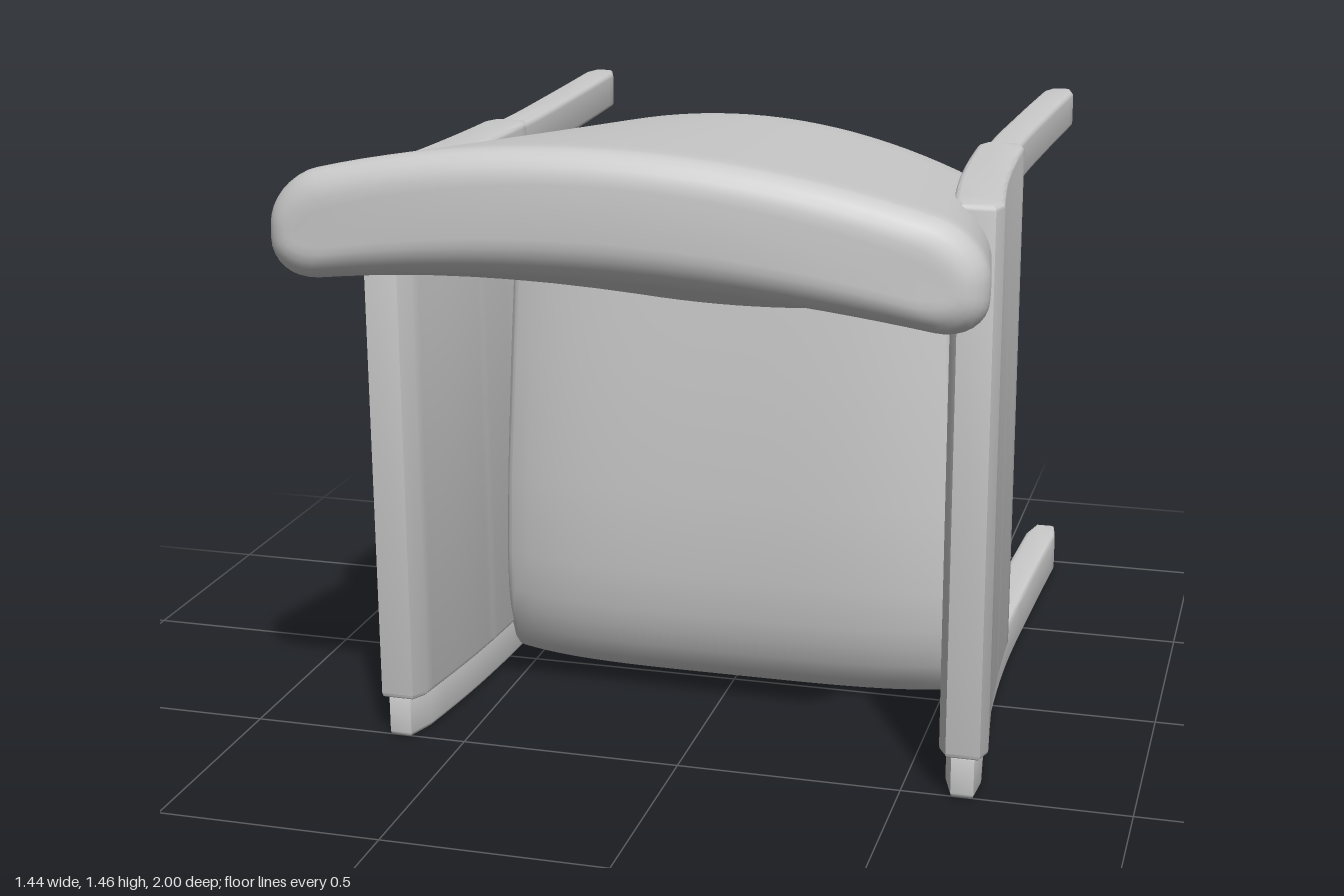
import * as THREE from 'three';
import { toCreasedNormals } from 'three/addons/utils/BufferGeometryUtils.js';

const material = new THREE.MeshStandardMaterial({ color: 0xcccccc });
const lerp = THREE.MathUtils.lerp;

function addMesh(parent, name, geometry) {
  const mesh = new THREE.Mesh(geometry, material);
  mesh.name = name;
  parent.add(mesh);
  return mesh;
}

// Rounded-rectangle section in the unit box; rx, ry are corner radii as fractions
function unitSection(rx, ry) {
  const pts = [];
  const arc = 8, span = 24;
  const corners = [[1, 1], [-1, 1], [-1, -1], [1, -1]];
  corners.forEach(([sx, sy], c) => {
    for (let k = 0; k <= arc; k++) {
      const a = (c + k / arc) * Math.PI / 2;
      pts.push([sx * (1 - rx) + rx * Math.cos(a), sy * (1 - ry) + ry * Math.sin(a)]);
    }
    // subdivide the long edges so they can be bent
    if (c % 2 === 0) {
      for (let k = 1; k < span; k++) pts.push([sx * (1 - rx) * (1 - 2 * k / span), sy]);
    }
  });
  return pts;
}

// Skin a list of rings; each ring gives half width, top(u), bottom(u), z(u) and inset
function loft(section, rings) {
  const n = section.length, positions = [], index = [];
  rings.forEach(({ w, top, bottom, z, inset = 0, shut = false }) => {
    section.forEach(([u, v]) => {
      const mid = (top(u) + bottom(u)) / 2;
      const half = shut ? 0 : (top(u) - bottom(u)) / 2 - inset;
      positions.push(u * (w - inset), mid + half * v, z(u));
    });
  });
  for (let i = 0; i < rings.length - 1; i++) {
    for (let j = 0; j < n; j++) {
      const a = i * n + j, b = i * n + (j + 1) % n;
      index.push(a, b, b + n, a, b + n, a + n);
    }
  }
  const geometry = new THREE.BufferGeometry();
  geometry.setAttribute('position', new THREE.Float32BufferAttribute(positions, 3));
  geometry.setIndex(index);
  return toCreasedNormals(geometry, 0.7);
}

// Stations along the length with both ends rounded over and closed
function stations(start, end, rStart, rEnd, middle) {
  const list = [{ t: start, inset: rStart, shut: true }];
  const steps = 6;
  for (let k = 0; k <= steps; k++) {
    const a = k / steps * Math.PI / 2;
    list.push({ t: start + rStart * (1 - Math.sin(a)), inset: rStart * (1 - Math.cos(a)) });
  }
  list.splice(1, steps + 1, ...list.slice(1).reverse());
  middle.forEach(t => list.push({ t }));
  for (let k = 0; k <= steps; k++) {
    const a = k / steps * Math.PI / 2;
    list.push({ t: end - rEnd * (1 - Math.sin(a)), inset: rEnd * (1 - Math.cos(a)) });
  }
  list.push({ t: end, inset: rEnd, shut: true });
  return list;
}

// Curved padded backrest, wider and higher towards its free edge
function backrestGeometry() {
  const rings = stations(-0.17, 1, 0.04, 0.07, [0, 0.15, 0.3, 0.45, 0.6, 0.75, 0.85]).map(({ t, inset, shut }) => {
    const f = (t + 0.17) / 1.1;
    const topMid = 1.34 + 0.12 * f, topSide = 1.21 + 0.13 * f;
    const lowMid = lerp(0.87, 1.2, f), lowSide = lerp(0.99, 1.13, f);
    return {
      w: lerp(0.565, 0.72, Math.min(f, 1)), inset, shut,
      top: u => topMid + (topSide - topMid) * u * u,
      bottom: u => lowMid + (lowSide - lowMid) * u * u,
      z: u => t - 0.05 * u * u * Math.max(0, f),
    };
  });
  return loft(unitSection(0.14, 0.85), rings);
}

// Seat cushion: flat underside, crowned face that rolls over at the front edge
function seatGeometry() {
  const face = new THREE.CatmullRomCurve3([
    [0, -0.01], [0.05, 0.05], [0.15, 0.1], [0.3, 0.13], [0.7, 0.14], [1.2, 0.12],
  ].map(([y, z]) => new THREE.Vector3(y, z, 0))).getPoints(60);
  const faceAt = y => {
    const i = Math.max(1, face.findIndex(p => p.x >= y));
    const a = face[i - 1], b = face[i];
    return lerp(a.y, b.y, (y - a.x) / (b.x - a.x));
  };
  const rings = stations(0.005, 1.19, 0.015, 0.02, [0.05, 0.1, 0.15, 0.2, 0.3, 0.5, 0.8, 1])
    .map(({ t, inset, shut }) => ({
      w: lerp(0.56, 0.505, t / 1.1), inset, shut,
      top: () => 0.2,
      bottom: u => -faceAt(t) + 0.06 * u ** 4,
      z: () => t,
    }));
  return loft(unitSection(0.04, 0.1), rings).rotateX(-Math.PI / 2);
}

// Centre line of each side frame in plan: x as a function of z
const bow = new THREE.CatmullRomCurve3([
  [0.615, -1], [0.598, -0.6], [0.588, -0.2], [0.606, 0.2], [0.643, 0.52],
].map(([x, z]) => new THREE.Vector3(x, 0, z))).getPoints(80);
function bowX(z) {
  const i = Math.max(1, bow.findIndex(p => p.z >= z - 1e-6));
  const a = bow[i - 1], b = bow[i];
  return lerp(a.x, b.x, (z - a.z) / (b.z - a.z));
}

// Bowed bar standing between y0 and y1, following the side frame
function bowedBar(side, z0, z1, width, y0, y1) {
  const bevel = 0.012, steps = 24, h = width / 2 - bevel;
  const inner = [], outer = [];
  for (let k = 0; k <= steps; k++) {
    const z = lerp(z0 + bevel, z1 - bevel, k / steps);
    // soften the corners at both ends
    const round = (k === 0 || k === steps) ? 0.012 : 0;
    inner.push(new THREE.Vector2(side * (bowX(z) - h + round), -z));
    outer.push(new THREE.Vector2(side * (bowX(z) + h - round), -z));
  }
  const geometry = new THREE.ExtrudeGeometry(new THREE.Shape([...inner, ...outer.reverse()]), {
    depth: y1 - y0 - 2 * bevel, bevelSize: bevel, bevelThickness: bevel, bevelSegments: 3,
  });
  geometry.rotateX(-Math.PI / 2).translate(0, y0 + bevel, 0);
  return toCreasedNormals(geometry, 0.6);
}

export function createModel() {
  const model = new THREE.Group();
  model.name = 'armchairLyingOnItsBack';

  addMesh(model, 'seat', seatGeometry());

  // The backrest leans very slightly to one side
  const pivot = new THREE.Group();
  pivot.name = 'backrestPivot';
  pivot.position.y = 1.2;
  pivot.rotation.z = -0.025;
  addMesh(pivot, 'backrest', backrestGeometry().translate(0, -1.2, 0));
  model.add(pivot);

  // Side frames: upholstered panel plus a front and a back leg rail
  for (const side of [1, -1]) {
    const frame = new THREE.Group();
    frame.name = side > 0 ? 'leftSide' : 'rightSide';
    frame.position.x = -0.006;
    addMesh(frame, 'armPanel', bowedBar(side, -0.175, 0.52, 0.106, 0.095, 1.3));
    addMesh(frame, 'frontLeg', bowedBar(side, -1, 0.51, 0.078, 0, 0.105));
    addMesh(frame, 'backLeg', bowedBar(side, -1, 0, 0.078, 1.2, 1.292));
    model.add(frame);
  }
  return model;
}
